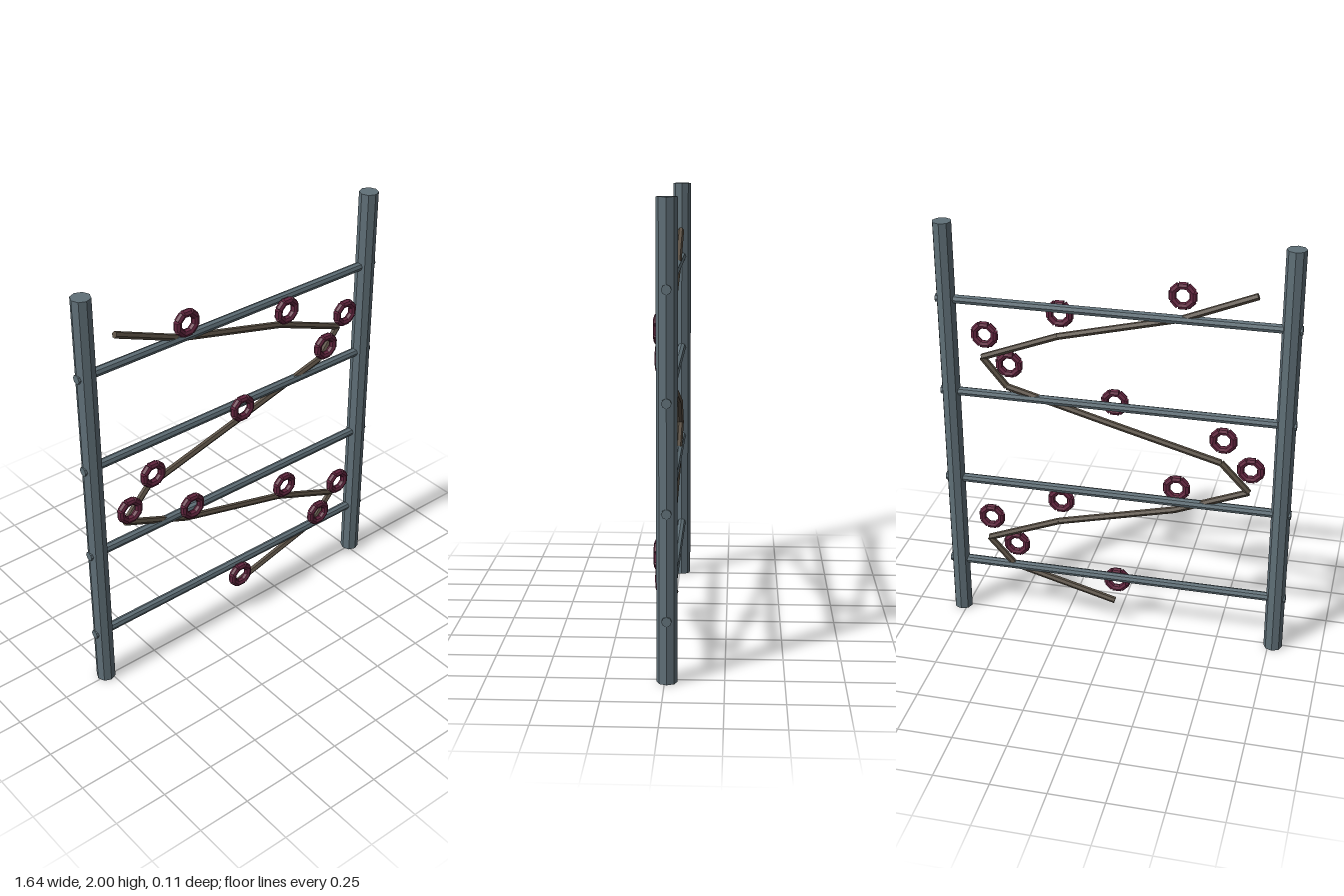
import * as THREE from 'three';

const Z = -0.01; // plane of the frame
const steel = new THREE.MeshStandardMaterial({ color: 0x607078, flatShading: true });
const cord = new THREE.MeshStandardMaterial({ color: 0x5a5044, flatShading: true });
const red = new THREE.MeshStandardMaterial({ color: 0x642640, flatShading: true });

// Straight bar from a to b
function bar(name, a, b, radius, sides, material) {
  const dir = b.clone().sub(a);
  const mesh = new THREE.Mesh(new THREE.CylinderGeometry(radius, radius, dir.length(), sides), material);
  mesh.name = name;
  mesh.position.copy(a).add(b).multiplyScalar(0.5);
  mesh.quaternion.setFromUnitVectors(new THREE.Vector3(0, 1, 0), dir.normalize());
  return mesh;
}

// Ring made of eight short bars, leaving small notches at the corners
function ring(x, y) {
  const group = new THREE.Group();
  group.name = 'ring';
  const R = 0.046, half = 0.019;
  for (let i = 0; i < 8; i++) {
    const t = (i * Math.PI) / 4, c = Math.cos(t), s = Math.sin(t);
    group.add(bar('ringSegment',
      new THREE.Vector3(R * c + half * s, R * s - half * c, 0),
      new THREE.Vector3(R * c - half * s, R * s + half * c, 0), 0.0175, 8, red));
  }
  group.position.set(x, y, 0.034);
  return group;
}

export function createModel() {
  const model = new THREE.Group();
  const V = (x, y) => new THREE.Vector3(x, y, Z);

  // Upright posts
  for (const s of [-1, 1]) {
    model.add(bar(s > 0 ? 'leftPost' : 'rightPost', V(s * 0.772, 0), V(s * 0.772, 2), 0.044, 8, steel));
  }

  // Rungs, poking slightly through the posts
  for (let i = 0; i < 4; i++) {
    const y = 0.274 + i * 0.455;
    model.add(bar('rung', V(-0.819, y), V(0.819, y), 0.021, 8, steel));
  }

  // Cord swinging from side to side, with a ring above each node
  const node = (k) => V(0.635 * Math.sin(0.9 * k), 0.14 + k * 0.1364);
  for (let k = 0; k < 12; k++) {
    const p = node(k);
    model.add(bar('cordSegment', p, node(k + 1), 0.0155, 6, cord));
    model.add(ring(p.x, p.y + 0.091));
  }
  return model;
}
